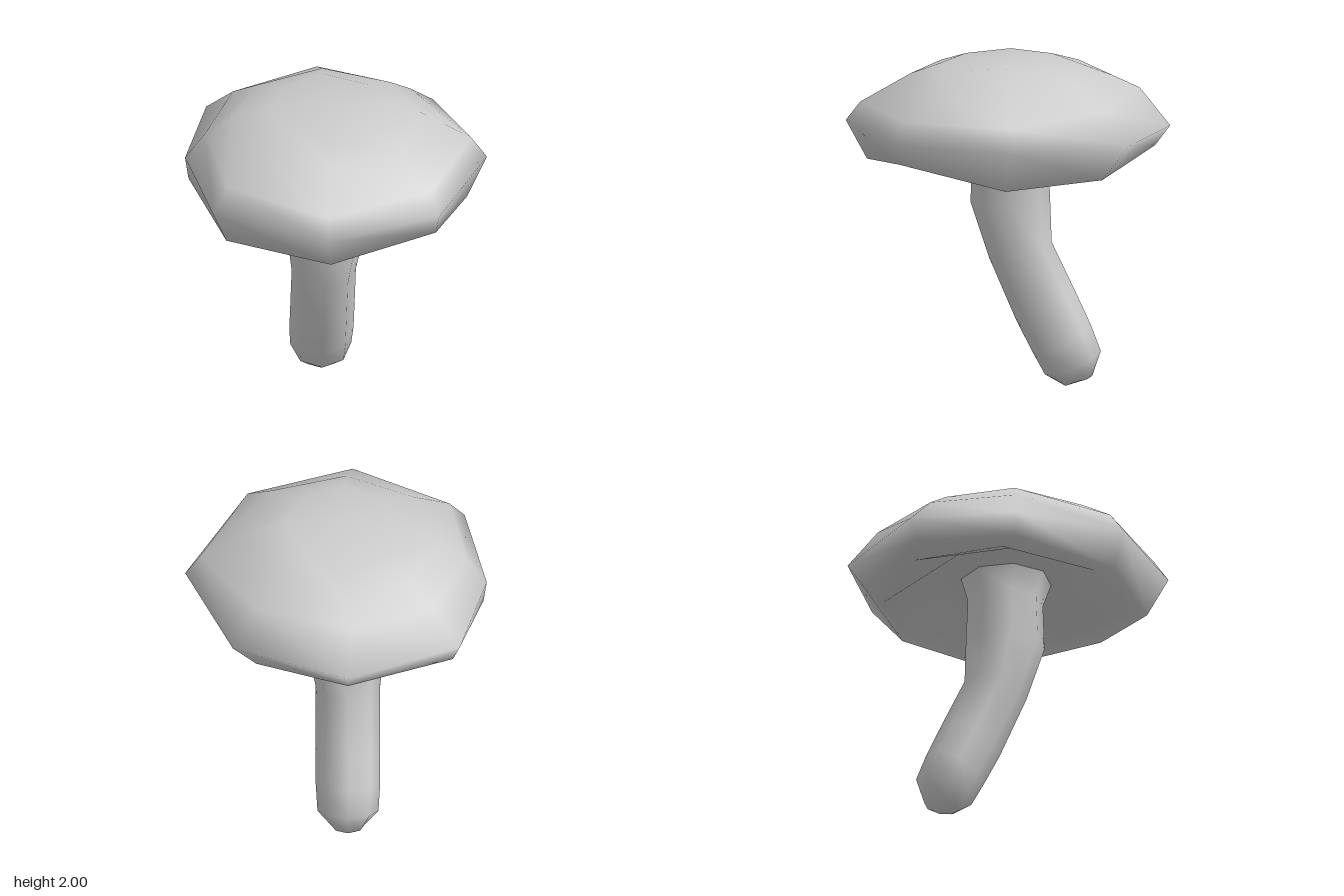
import * as THREE from 'three';

const SIDES = 8;

// Skin a stack of eight-point loops (ordered bottom to top); a tip point closes an end, null leaves it open.
function loft(name, rings, bottomTip, topTip) {
  const points = rings.flat();
  const index = [];
  const last = (rings.length - 1) * SIDES;
  const tip = points.length;
  for (let i = 0; i < SIDES; i++) {
    const j = (i + 1) % SIDES;
    for (let r = 0; r < last; r += SIDES) {
      const a = r + i, b = r + j, c = b + SIDES, d = a + SIDES;
      index.push(a, d, c, a, c, b);
    }
    if (bottomTip) index.push(tip, i, j);
    if (topTip) index.push(tip, last + j, last + i);
  }
  points.push(bottomTip ?? topTip);
  const geometry = new THREE.BufferGeometry();
  geometry.setAttribute('position', new THREE.Float32BufferAttribute(points.flat(), 3));
  geometry.setIndex(index);
  geometry.computeVertexNormals();
  const mesh = new THREE.Mesh(geometry, new THREE.MeshStandardMaterial({ color: 0xcccccc }));
  mesh.name = name;
  return mesh;
}

// Loop of points around a centre, tilted so its front and back meet the given z, y pairs.
function tiltedRing(cx, halfWidth, [zFront, yFront], [zBack, yBack]) {
  return Array.from({ length: SIDES }, (_, i) => {
    const a = (i / SIDES) * Math.PI * 2;
    const t = (1 - Math.sin(a)) / 2;
    return [
      cx + halfWidth * Math.cos(a),
      THREE.MathUtils.lerp(yFront, yBack, t),
      THREE.MathUtils.lerp(zFront, zBack, t),
    ];
  });
}

// Flared loop shared by the stem and the hollow under the cap
const neck = tiltedRing(-0.06, 0.27, [0.26, 1.54], [-0.28, 1.54]);

function createCap() {
  // Ceiling of the hollow
  const hollow = tiltedRing(-0.04, 0.45, [0.44, 1.57], [-0.46, 1.57]);
  // Loops start at the left (+x) and turn toward the front
  const fold = [
    [0.65, 1.39, 0.03], [0.46, 1.49, 0.53], [-0.08, 1.4, 0.7], [-0.59, 1.41, 0.42],
    [-0.7, 1.47, -0.14], [-0.46, 1.45, -0.63], [0.08, 1.41, -0.73], [0.4, 1.37, -0.48],
  ];
  // Uneven lower lip, with a notch at the front left
  const lip = [
    [0.77, 1.36, 0.04], [0.55, 1.48, 0.66], [-0.08, 1.38, 0.83], [-0.68, 1.39, 0.53],
    [-0.87, 1.47, -0.08], [-0.69, 1.48, -0.65], [-0.07, 1.45, -0.87], [0.47, 1.36, -0.54],
  ];
  // Widest outline
  const rim = [
    [0.89, 1.61, 0.01], [0.57, 1.6, 0.68], [-0.1, 1.61, 0.955], [-0.76, 1.6, 0.58],
    [-0.89, 1.61, -0.08], [-0.73, 1.6, -0.69], [-0.07, 1.57, -0.96], [0.61, 1.6, -0.7],
  ];
  const shoulder = [
    [0.8, 1.74, 0.01], [0.52, 1.73, 0.62], [-0.1, 1.72, 0.87], [-0.67, 1.74, 0.51],
    [-0.77, 1.78, -0.07], [-0.58, 1.78, -0.55], [-0.07, 1.8, -0.78], [0.47, 1.77, -0.54],
  ];
  const dome = [
    [0.5, 1.92, 0], [0.38, 1.9, 0.43], [-0.06, 1.9, 0.57], [-0.46, 1.89, 0.38],
    [-0.61, 1.9, -0.05], [-0.44, 1.89, -0.43], [-0.05, 1.88, -0.62], [0.34, 1.9, -0.4],
  ];
  const crown = [
    [0.31, 2, 0], [0.2, 1.97, 0.26], [-0.05, 1.96, 0.4], [-0.3, 1.965, 0.24],
    [-0.4, 1.97, -0.03], [-0.3, 1.96, -0.27], [-0.05, 1.955, -0.42], [0.2, 1.97, -0.26],
  ];
  return loft('cap', [neck, hollow, fold, lip, rim, shoulder, dome, crown], null, [-0.03, 2, 0]);
}

function createStem() {
  return loft('stem', [
    tiltedRing(-0.07, 0.1, [-0.29, 0.03], [-0.5, 0.06]),
    tiltedRing(-0.07, 0.18, [-0.22, 0.07], [-0.55, 0.21]),
    tiltedRing(-0.07, 0.19, [-0.15, 0.2], [-0.49, 0.37]),
    tiltedRing(-0.07, 0.19, [-0.05, 0.4], [-0.4, 0.57]),
    tiltedRing(-0.07, 0.19, [0.11, 0.78], [-0.26, 0.87]),
    tiltedRing(-0.06, 0.235, [0.22, 1.12], [-0.25, 1.14]),
    tiltedRing(-0.065, 0.215, [0.21, 1.4], [-0.24, 1.4]),
    neck,
  ], [-0.07, 0, -0.34], null);
}

export function createModel() {
  const mushroom = new THREE.Group();
  mushroom.name = 'mushroom';
  mushroom.add(createCap(), createStem());
  return mushroom;
}
